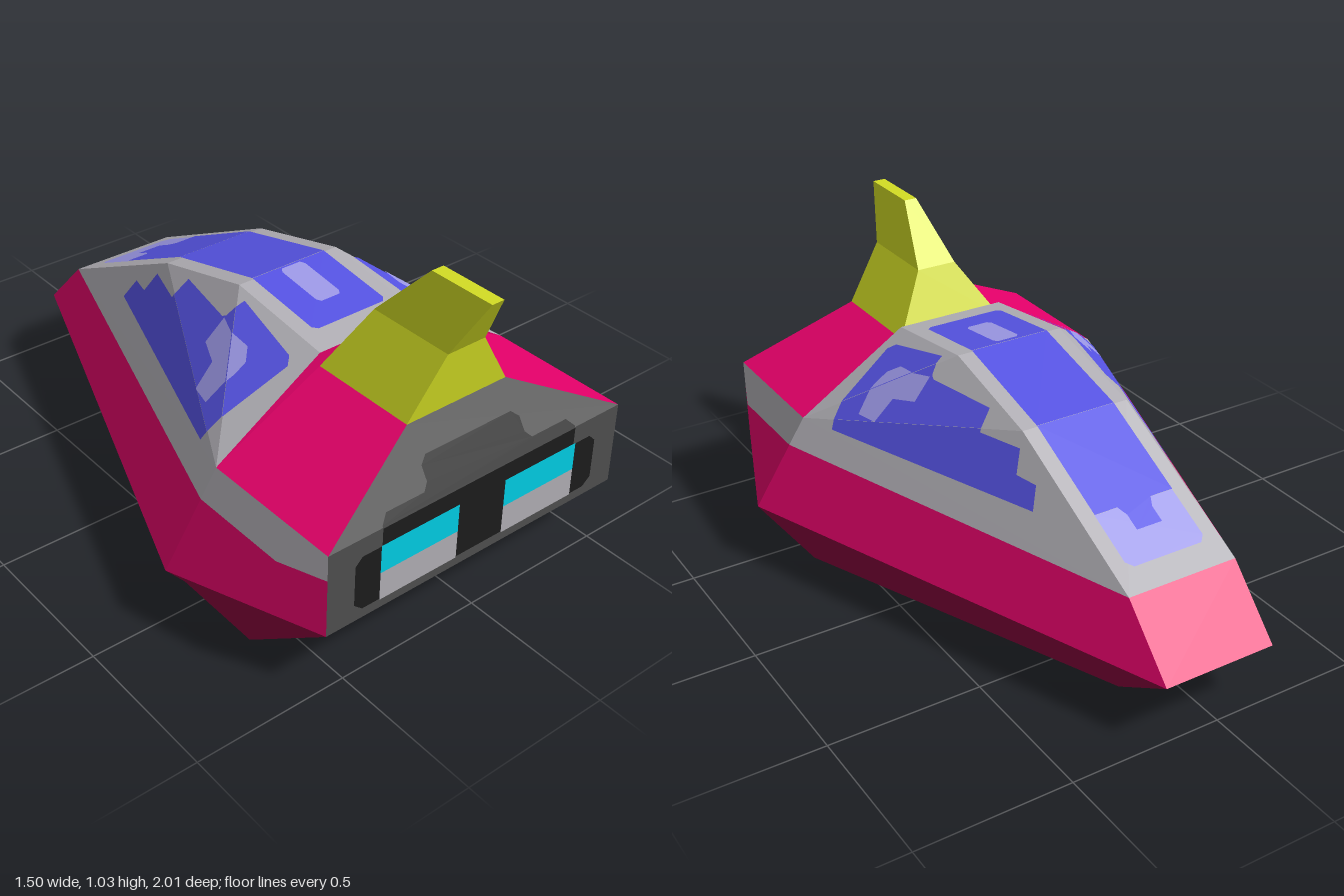
import * as THREE from 'three';

const mat = (name, color) => Object.assign(new THREE.MeshStandardMaterial({ color }), { name });

// Mirror polygons across x = 0 and keep both halves
const flip = polys => polys.map(p => p.map(([x, y, z]) => [-x, y, z]));
const both = polys => [...polys, ...flip(polys)];

// One flat normal for a polygon, even when it is slightly bent
function flatNormal(v) {
  const n = new THREE.Vector3();
  v.forEach((p, i) => n.add(p.clone().cross(v[(i + 1) % v.length])));
  return n.normalize();
}

// Faceted mesh from polygons, each turned away from an inner point.
// sideFace, if given, is the +x polygon whose normal all the pieces share.
function facets(name, material, polys, inner = [0, 0.3, 0.1], sideFace = null) {
  const pos = [], nor = [], c = new THREE.Vector3(...inner);
  for (const poly of polys) {
    const v = poly.map(p => new THREE.Vector3(...p));
    const shade = flatNormal(sideFace ? sideFace.map(p => new THREE.Vector3(...p)) : v);
    if (sideFace && v.reduce((s, p) => s + p.x, 0) < 0) shade.x *= -1;
    const away = v[0].clone().sub(c);
    if (shade.dot(away) < 0) shade.negate();
    for (let i = 1; i < v.length - 1; i++) {
      const t = new THREE.Triangle(v[0], v[i], v[i + 1]);
      if (t.getArea() < 1e-7) continue;
      const out = t.getNormal(new THREE.Vector3()).dot(away) > 0;
      for (const p of out ? [t.a, t.b, t.c] : [t.a, t.c, t.b]) {
        pos.push(p.x, p.y, p.z);
        nor.push(shade.x, shade.y, shade.z);
      }
    }
  }
  const g = new THREE.BufferGeometry();
  g.setAttribute('position', new THREE.Float32BufferAttribute(pos, 3));
  g.setAttribute('normal', new THREE.Float32BufferAttribute(nor, 3));
  const m = new THREE.Mesh(g, material);
  m.name = name;
  return m;
}

// Cut a 2D outline to a convex facet
function clip(poly, region) {
  let out = poly;
  const mid = [0, 1].map(k => region.reduce((s, p) => s + p[k], 0) / region.length);
  region.forEach((a, n) => {
    const b = region[(n + 1) % region.length];
    const side = p => (b[0] - a[0]) * (p[1] - a[1]) - (b[1] - a[1]) * (p[0] - a[0]);
    const s = Math.sign(side(mid)), src = out;
    out = [];
    src.forEach((p, i) => {
      const q = src[(i + 1) % src.length], dp = side(p) * s, dq = side(q) * s;
      if (dp >= 0) out.push(p);
      if (dp * dq < 0) {
        const t = dp / (dp - dq);
        out.push([p[0] + (q[0] - p[0]) * t, p[1] + (q[1] - p[1]) * t]);
      }
    });
  });
  return out;
}

// Lay a 2D outline on facets; u and v are its axes, w is the projected one
function drape(outline, surfaces, [u, v, w], lift) {
  const tris = [];
  for (const f of surfaces) {
    const cut = clip(outline, f.map(p => [p[u], p[v]]));
    if (cut.length < 3) continue;
    const plane = new THREE.Plane().setFromCoplanarPoints(...f.slice(0, 3).map(p => new THREE.Vector3(...p)));
    const n = plane.normal.toArray(), s = Math.sign(n[w]);
    const pts = cut.map(p => {
      const r = [0, 0, 0];
      r[u] = p[0]; r[v] = p[1];
      r[w] = -(plane.constant + n[u] * p[0] + n[v] * p[1]) / n[w];
      return r.map((x, k) => x + n[k] * s * lift);
    });
    const flat = cut.map(p => new THREE.Vector2(...p));
    for (const t of THREE.ShapeUtils.triangulateShape(flat, [])) tris.push(t.map(i => pts[i]));
  }
  return tris;
}
const rect = (x0, x1, y0, y1) => [[x0, y0], [x1, y0], [x1, y1], [x0, y1]];
const symmetric = half => [...half, ...half.map(([x, y]) => [-x, y]).reverse()];

export function createModel() {
  const model = new THREE.Group();
  model.name = 'hoverCraft';
  const magenta = mat('magenta', 0xe6006a), deep = mat('deep magenta', 0x940042), maroon = mat('maroon', 0x520026);
  const grey = mat('light grey', 0xb2b0b6), steel = mat('dark grey', 0x505050), black = mat('black', 0x1c1c1c);
  const blue = mat('blue glass', 0x5653e4), lavender = mat('pale glass', 0xa09cec);
  const yellow = mat('yellow', 0xd3dd24), cyan = mat('cyan', 0x00d2ea);

  // Key points on the +x half
  const wide = [0.75, 0.19, 0.51], nose = [0.19, 0.19, -1], rear = [0.565, 0.19, 1];
  const baseRear = [0.61, 0, 0.72], baseWide = [0.61, 0, 0.4], baseNose = [0.15, 0, -0.72];
  const shoulder = [0.565, 0.47, 0.51], rearTop = [0.565, 0.47, 1];
  const bandWide = [0.621, 0.385, 0.51], bandDiag = [0.621, 0.385, 0.851], bandRear = [0.565, 0.385, 1];
  const noseTop = [0.19, 0.385, -0.81];
  const spine = [noseTop, [0.19, 0.66, -0.25], [0.19, 0.755, 0.13], [0.19, 0.705, 0.51]];
  const deckFront = [0.19, 0.66, 0.51], deckRear = [0.19, 0.66, 0.88];
  const across = (a, b) => [a, b, flip([[b]])[0][0], flip([[a]])[0][0]];

  // Lower hull: dark underside and ends, lighter sides
  model.add(facets('underside', maroon, [
    across(rear, baseRear), across(baseRear, baseWide), across(baseWide, baseNose), across(baseNose, nose),
  ]));
  model.add(facets('lowerSides', deep, both([
    [wide, baseWide, baseNose, nose], [baseWide, wide, rear, baseRear],
  ])));

  // Coloured side band and nose, with the grey strip above
  const rearSide = [wide, rear, rearTop, shoulder], core = [0, 0.3, 0.1];
  model.add(facets('sideBand', magenta, [across(nose, noseTop), ...both([[wide, nose, noseTop, bandWide]])]));
  model.add(facets('rearSideBand', magenta,
    both([[wide, rear, bandRear, bandDiag], [wide, bandDiag, bandWide]]), core, rearSide));
  model.add(facets('upperSideStrip', grey, both([[bandWide, noseTop, shoulder]])));
  model.add(facets('rearSideStrip', grey,
    both([[bandWide, bandDiag, rearTop, shoulder], [bandDiag, bandRear, rearTop]]), core, rearSide));

  // Canopy: central spine with sloping flanks
  const spineFaces = [0, 1, 2].map(i => across(spine[i], spine[i + 1]));
  const flanks = [0, 1, 2].map(i => [shoulder, spine[i], spine[i + 1]]);
  model.add(facets('canopySpine', grey, spineFaces));
  model.add(facets('canopyFlanks', grey, both(flanks)));

  // Rear deck, canopy end wall and tail panel
  model.add(facets('rearDeck', magenta, [
    across(deckFront, deckRear), ...both([[shoulder, rearTop, deckRear, deckFront]]),
  ]));
  model.add(facets('canopyEndWall', magenta, [
    across(deckFront, spine[3]), ...both([[shoulder, deckFront, spine[3]]]),
  ]));
  const tail = [across(rear, rearTop), across(rearTop, deckRear)];
  model.add(facets('tailPanel', steel, tail));

  // Fin lofted through three rectangles: y, half width, front z, rear z
  const rings = [[0.66, 0.19, 0.51, 0.88], [0.85, 0.07, 0.6, 0.9], [1.035, 0.022, 0.77, 1]]
    .map(([y, x, f, r]) => [[x, y, f], [x, y, r], [-x, y, r], [-x, y, f]]);
  const finFaces = [rings[0], rings[2]];
  for (let i = 0; i < 2; i++) for (let k = 0; k < 4; k++) {
    const n = (k + 1) % 4;
    finFaces.push([rings[i][k], rings[i][n], rings[i + 1][n], rings[i + 1][k]]);
  }
  model.add(facets('fin', yellow, finFaces, [0, 0.85, 0.75]));

  // Spine glass, with a pale front part and a pale hatch
  const top = [0, 2, 1], back = [0, 1, 2], flank = [2, 1, 0];
  model.add(facets('spineGlassFront', lavender, drape(
    symmetric([[0.12, -0.735], [0.14, -0.715], [0.14, -0.56]]), spineFaces, top, 0.003)));
  model.add(facets('spineGlass', blue, drape(
    symmetric([[0.045, -0.64], [0.045, -0.59], [0.06, -0.56], [0.14, -0.56], [0.14, 0.41], [0.125, 0.425]]),
    spineFaces, top, 0.005)));
  model.add(facets('spineHatch', lavender, drape(
    symmetric([[0.035, 0.14], [0.045, 0.155], [0.045, 0.315], [0.035, 0.33]]), spineFaces, top, 0.008)));

  // Stepped side windows with a pale glint, outlined in z and y
  const sideWindow = [
    [0.461, 0.663], [0.44, 0.68], [0.188, 0.733], [0.165, 0.69], [0.15, 0.682], [-0.1, 0.676], [-0.123, 0.617],
    [-0.273, 0.617], [-0.305, 0.552], [-0.38, 0.547], [-0.413, 0.483], [0.38, 0.472],
  ];
  const glint = [
    [0.345, 0.615], [0.316, 0.536], [0.241, 0.536], [0.236, 0.602], [0.155, 0.617], [0.166, 0.684],
    [0.311, 0.665], [0.345, 0.64],
  ];
  model.add(facets('sideWindows', blue, both(drape(sideWindow, flanks, flank, 0.004))));
  model.add(facets('sideWindowGlints', lavender, both(drape(glint, flanks, flank, 0.007))));

  // Tail exhaust surround and two-tone ports
  const surround = symmetric([
    [0.44, 0.225], [0.47, 0.25], [0.47, 0.385], [0.445, 0.41], [0.375, 0.41], [0.375, 0.475], [0.35, 0.5],
    [0.21, 0.5], [0.19, 0.52], [0.19, 0.56], [0.165, 0.58],
  ]);
  model.add(facets('exhaustSurround', black, drape(surround, tail, back, 0.003)));
  model.add(facets('exhaustGlow', cyan, both(drape(rect(0.09, 0.38, 0.32, 0.415), tail, back, 0.006))));
  model.add(facets('exhaustLowerPanel', grey, both(drape(rect(0.09, 0.38, 0.225, 0.32), tail, back, 0.006))));

  return model;
}
